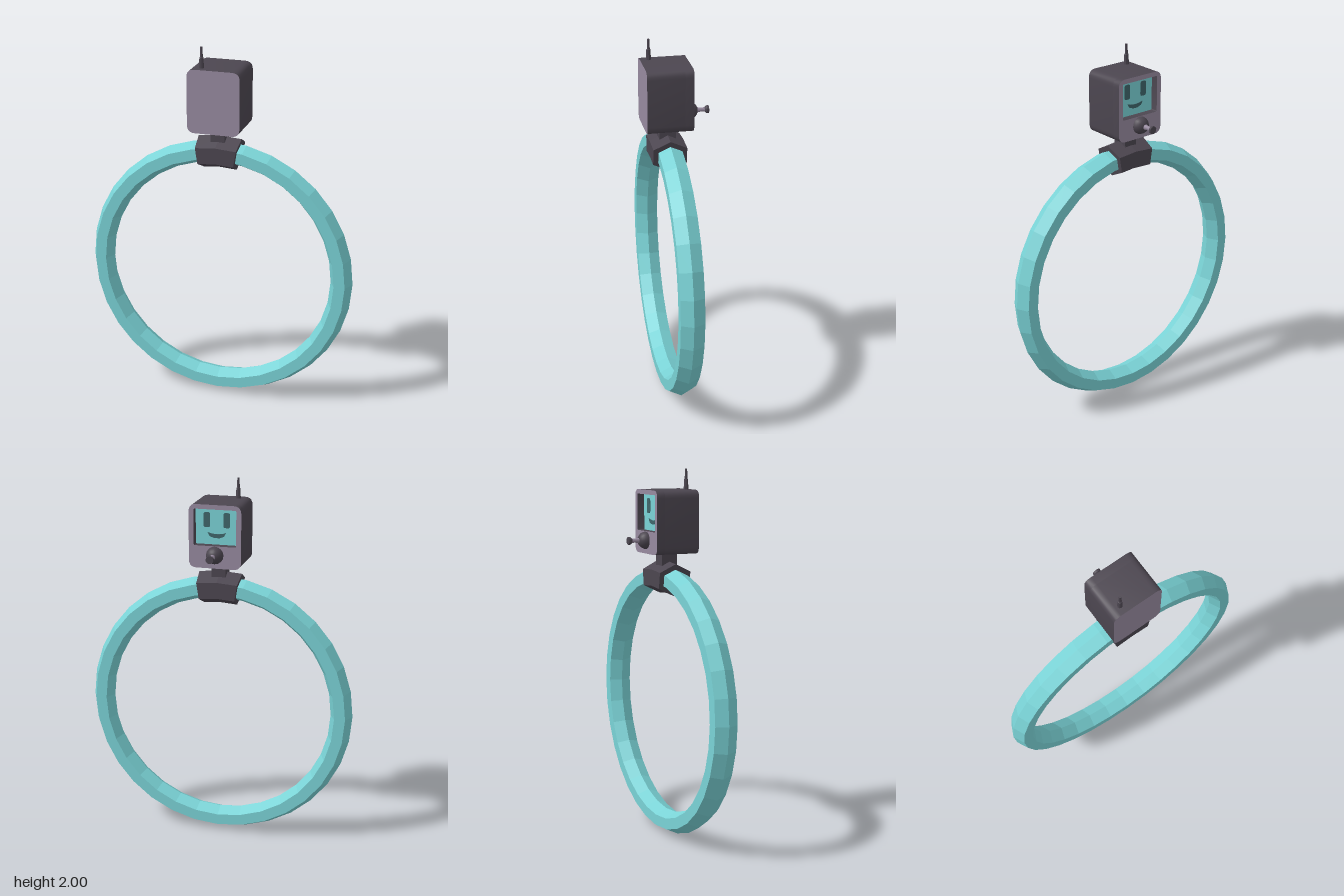
import * as THREE from 'three';
import { mergeGeometries, toCreasedNormals } from 'three/addons/utils/BufferGeometryUtils.js';

const material = (name, color) => {
  const m = new THREE.MeshStandardMaterial({ color });
  m.name = name;
  return m;
};

// Rounded rectangle centred on (x, y)
function roundRect(target, x, y, w, h, r) {
  const l = x - w / 2, b = y - h / 2, R = x + w / 2, t = y + h / 2;
  target.moveTo(l + r, b);
  target.lineTo(R - r, b).quadraticCurveTo(R, b, R, b + r);
  target.lineTo(R, t - r).quadraticCurveTo(R, t, R - r, t);
  target.lineTo(l + r, t).quadraticCurveTo(l, t, l, t - r);
  target.lineTo(l, b + r).quadraticCurveTo(l, b, l + r, b);
  return target;
}

const extrude = (shape, depth, z) => {
  const g = new THREE.ExtrudeGeometry(shape, { depth, bevelEnabled: false, curveSegments: 5 });
  return toCreasedNormals(g.translate(0, 0, z), 0.6);
};

const faceted = (g) => {
  const flat = g.toNonIndexed();
  flat.computeVertexNormals();
  return flat;
};

export function createModel() {
  const group = new THREE.Group();
  const teal = material('teal', 0x7ad3d6);
  const dark = material('charcoal', 0x4c4650);
  const mauve = material('mauve', 0x978a9f);
  const ink = material('dark teal', 0x3f666b);

  const add = (name, geometry, mat, x = 0, y = 0, z = 0) => {
    const mesh = new THREE.Mesh(geometry, mat);
    mesh.name = name;
    mesh.position.set(x, y, z);
    group.add(mesh);
    return mesh;
  };

  // Hexagonal hoop
  const R = 0.68, ringY = 0.74, midZ = 0.05;
  add('hoop', faceted(new THREE.TorusGeometry(R, 0.06, 6, 32).scale(1, 1, 1.22 / 1.0 * 1.0)), teal, 0, ringY, midZ);

  // Clamp: short, thicker hoop section with closed ends
  const half = 0.155, t = 0.088;
  const cap = (sign) => new THREE.CircleGeometry(t, 6)
    .rotateX(-sign * Math.PI / 2).translate(R, 0, 0).rotateZ(Math.PI / 2 + sign * half);
  const clamp = mergeGeometries([
    new THREE.TorusGeometry(R, t, 6, 2, half * 2).rotateZ(Math.PI / 2 - half), cap(1), cap(-1),
  ]).scale(1, 1, 1.18);
  add('clamp', faceted(clamp), dark, 0, ringY, midZ);

  // Neck between clamp and head
  add('neck', new THREE.BoxGeometry(0.076, 0.09, 0.09), dark, 0, 1.515, midZ);

  // Head: solid shell, then a rear frame with the screen opening
  const outline = () => roundRect(new THREE.Shape(), 0, 1.72, 0.284, 0.34, 0.042);
  add('headShell', extrude(outline(), 0.199, -0.024), [mauve, dark]);
  const frame = outline();
  frame.holes.push(roundRect(new THREE.Path(), 0, 1.768, 0.23, 0.195, 0.008));
  add('screenFrame', extrude(frame, 0.046, -0.07), [mauve, dark]);
  add('screen', new THREE.BoxGeometry(0.23, 0.195, 0.006), teal, 0, 1.768, -0.026);

  // Face on the screen
  for (const s of [1, -1]) {
    const eye = roundRect(new THREE.Shape(), s * 0.054, 1.802, 0.036, 0.08, 0.012);
    add(s > 0 ? 'leftEye' : 'rightEye', extrude(eye, 0.004, -0.032), ink);
  }
  const mouth = new THREE.Shape();
  mouth.moveTo(-0.05, 1.735);
  mouth.quadraticCurveTo(0, 1.718, 0.05, 1.735);
  mouth.bezierCurveTo(0.05, 1.694, -0.05, 1.694, -0.05, 1.735);
  add('mouth', extrude(mouth, 0.004, -0.032), ink);

  // Joystick below the screen, turned towards the back
  const lathe = (points, sides) =>
    new THREE.LatheGeometry(points.map(([r, h]) => new THREE.Vector2(r, h)), sides);
  const joystick = (name, geometry, mat) => add(name, geometry.rotateX(-Math.PI / 2), mat, 0, 1.622, -0.07);
  joystick('joystickBall', new THREE.SphereGeometry(0.047, 16, 8, 0, Math.PI * 2, 0, Math.PI / 2), dark);
  joystick('joystickStem', lathe([[0.016, 0.035], [0.011, 0.065], [0.012, 0.09]], 10), mauve);
  joystick('joystickKnob', toCreasedNormals(
    lathe([[0, 0.082], [0.012, 0.084], [0.021, 0.094], [0.021, 0.106], [0, 0.106]], 10), 0.7), dark);

  // Stepped antenna
  add('antenna', faceted(
    lathe([[0.014, 0], [0.011, 0.06], [0.008, 0.062], [0.006, 0.115], [0, 0.115]], 8)), dark, -0.075, 1.885, 0.13);

  return group;
}
